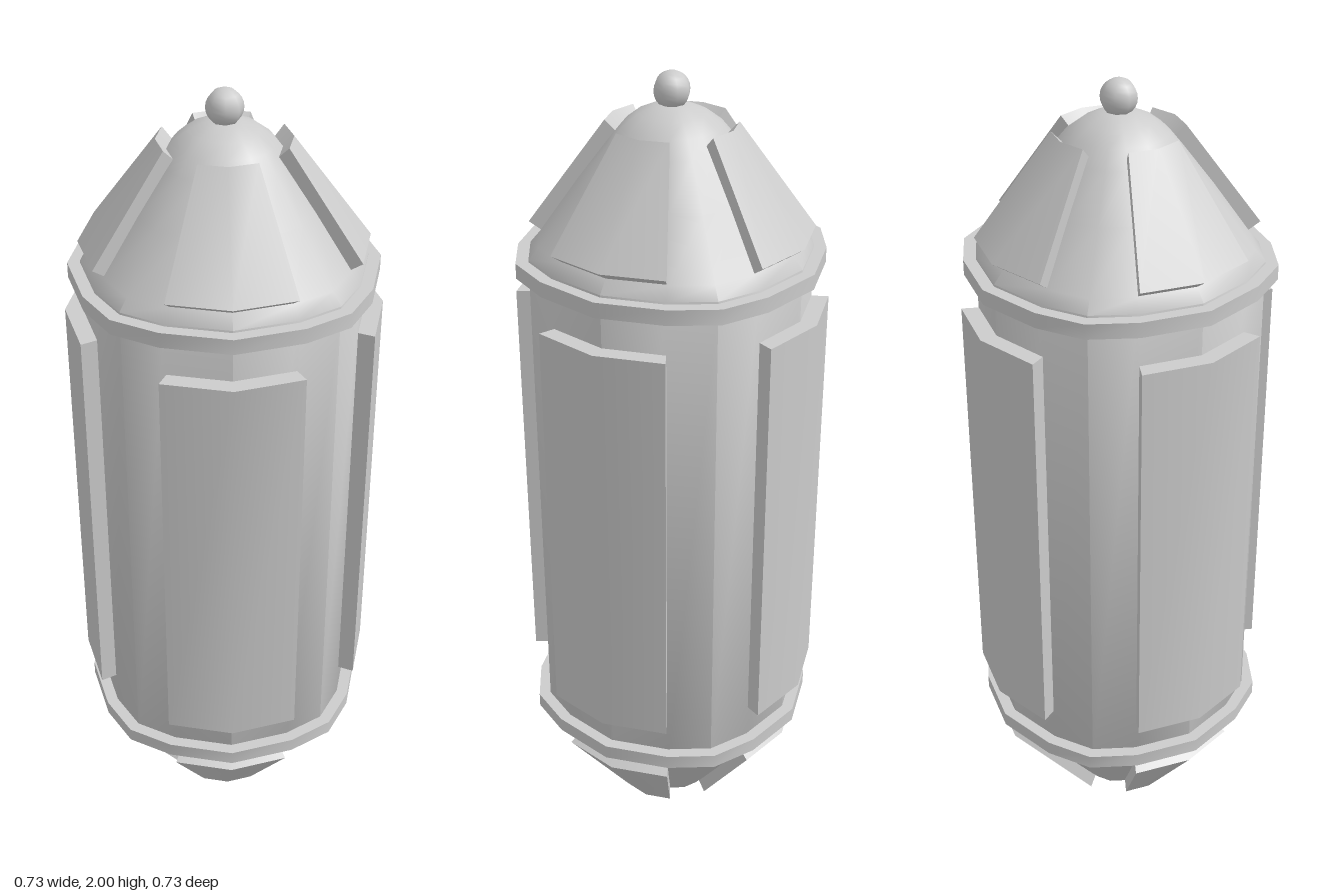
import * as THREE from 'three';
import { toCreasedNormals } from 'three/addons/utils/BufferGeometryUtils.js';

const MID = 0.966; // height of the horizontal mirror plane
const material = new THREE.MeshStandardMaterial({ color: 0xcccccc, side: THREE.DoubleSide });

// Skin a stack of loops (each counter-clockwise from above), closing both ends with fans
function loft(loops) {
  const n = loops[0].length;
  const index = [];
  for (let k = 0; k < loops.length - 1; k++) {
    for (let i = 0; i < n; i++) {
      const a = k * n + i, b = k * n + (i + 1) % n;
      index.push(a, b, b + n, a, b + n, a + n);
    }
  }
  const top = (loops.length - 1) * n;
  for (let i = 1; i < n - 1; i++) {
    index.push(0, i + 1, i, top, top + i, top + i + 1);
  }
  const geometry = new THREE.BufferGeometry();
  geometry.setAttribute('position', new THREE.Float32BufferAttribute(loops.flat(2), 3));
  geometry.setIndex(index);
  return toCreasedNormals(geometry, 0.75);
}

function add(parent, name, geometry) {
  const mesh = new THREE.Mesh(geometry, material);
  mesh.name = name;
  parent.add(mesh);
  return mesh;
}

// Sixteen-sided hull outline: one quarter turned four times
const QUARTER = [[0, 1], [0.439, 0.893], [0.727, 0.727], [0.893, 0.439]];
function hullLoop(r, y) {
  const loop = [];
  for (let q = 0; q < 4; q++) {
    const c = Math.round(Math.cos(q * Math.PI / 2)), s = Math.round(Math.sin(q * Math.PI / 2));
    for (const [x, z] of QUARTER) loop.push([r * (x * c + z * s), y, r * (z * c - x * s)]);
  }
  return loop;
}

// Chevron section of a plate that follows the hull, starting at its inner middle
function plateLoop(rOut, yOut, rIn, yIn) {
  const p = (side, r, y) => [side * 0.432 * r, y, r * (side ? 0.893 : 1)];
  return [
    p(0, rIn, yIn), p(-1, rIn, yIn), p(-1, rOut, yOut),
    p(0, rOut, yOut), p(1, rOut, yOut), p(1, rIn, yIn),
  ];
}

function addFourPlates(parent, name, geometry) {
  for (let q = 0; q < 4; q++) add(parent, name, geometry).rotation.y = q * Math.PI / 2;
}

export function createModel() {
  const model = new THREE.Group();
  model.name = 'capsule';

  // Hull: straight barrel with a rounded cone at each end
  const half = [
    [0.326, 0.635], [0.303, 0.662], [0.215, 0.785], [0.142, 0.88],
    [0.112, 0.917], [0.078, 0.943], [0.04, 0.96], [0.001, 0.966],
  ];
  const profile = [...half.map(([r, y]) => [r, -y]).reverse(), ...half];
  add(model, 'hull', loft(profile.map(([r, y]) => hullLoop(r, y)))).position.y = MID;

  // Long plates on the four sides of the barrel
  const sides = new THREE.Group();
  sides.name = 'sidePlates';
  sides.position.y = MID;
  addFourPlates(sides, 'sidePlate', loft([-0.51, 0.51].map((y) => plateLoop(0.367, y, 0.322, y))));
  model.add(sides);

  // Each end: a collar ring and four tapered cone plates
  const ringGeometry = loft([hullLoop(0.355, 0.594), hullLoop(0.355, 0.63)]);
  const conePlate = loft([
    plateLoop(0.329, 0.684, 0.298, 0.662),
    plateLoop(0.15, 0.923, 0.125, 0.898),
  ]);
  for (const name of ['topEnd', 'bottomEnd']) {
    const end = new THREE.Group();
    end.name = name;
    end.position.y = MID;
    if (name === 'bottomEnd') end.rotation.x = Math.PI;
    add(end, 'collarRing', ringGeometry);
    addFourPlates(end, 'conePlate', conePlate);
    model.add(end);
  }

  // Small ball on the tip
  add(model, 'tipBall', new THREE.SphereGeometry(0.042, 8, 12)).position.y = 1.958;

  return model;
}
